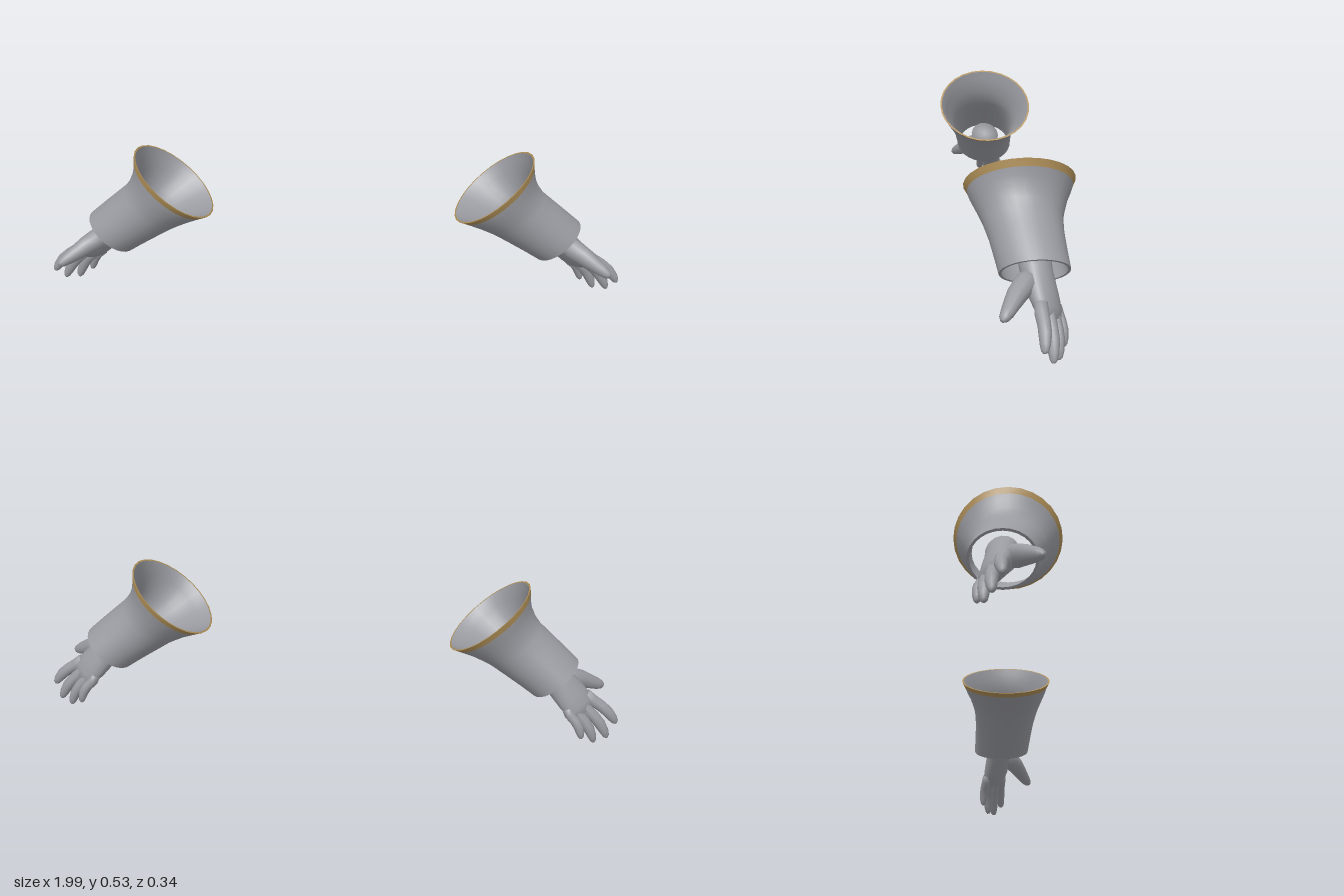
import * as THREE from 'three';

const steel = new THREE.MeshStandardMaterial({ color: 0x9a9ba1 });
steel.name = 'grey';
const gold = new THREE.MeshStandardMaterial({ color: 0xae8f58 });
gold.name = 'gold';

const vec = (a) => new THREE.Vector3(...a);

// Smooth skin over elliptical rings; each ring is { c, U, V, ru, rv }.
function loft(rings, sides) {
  const pos = [], idx = [];
  rings.forEach(({ c, U, V, ru, rv }, i) => {
    for (let j = 0; j < sides; j++) {
      const a = (j / sides) * Math.PI * 2;
      const p = c.clone().addScaledVector(U, ru * Math.cos(a)).addScaledVector(V, rv * Math.sin(a));
      pos.push(p.x, p.y, p.z);
      if (i === rings.length - 1) continue;
      const k = (j + 1) % sides, lo = i * sides, hi = lo + sides;
      idx.push(lo + j, lo + k, hi + j, lo + k, hi + k, hi + j);
    }
  });
  const g = new THREE.BufferGeometry();
  g.setAttribute('position', new THREE.Float32BufferAttribute(pos, 3));
  g.setIndex(idx);
  g.computeVertexNormals();
  return g;
}

// Cuff frame: the axis runs from the flared rim down to the wrist.
const rimCentre = vec([0.542, 0.425, 0]);
const axis = vec([0.65, -0.76, 0]).normalize();
const across = vec([0.76, 0.65, 0]).normalize();
const depth = vec([0, 0, 1]);

// Cuff profile: distance along axis, offset across, offset z, radius across, radius z
const profile = [
  [0, 0, 0, 0.168, 0.17],
  [0.02, -0.001, 0, 0.155, 0.16],
  [0.04, -0.002, 0.001, 0.142, 0.153],
  [0.067, -0.002, 0.002, 0.127, 0.141],
  [0.1, 0.001, 0.001, 0.115, 0.129],
  [0.13, 0.006, 0, 0.108, 0.12],
  [0.183, 0.018, -0.005, 0.104, 0.112],
  [0.245, 0.032, -0.011, 0.099, 0.108],
  [0.305, 0.0445, -0.017, 0.0945, 0.105],
];
const cuffRing = ([t, u, z, ru, rv], inset = 0) => ({
  c: rimCentre.clone().addScaledVector(axis, t).addScaledVector(across, u).addScaledVector(depth, z),
  U: across, V: depth, ru: ru - inset, rv: rv - inset,
});

// Tapered limb through points [x, y, z, width radius, thickness radius], closed at both ends.
const handWidth = vec([0.75, 0.32, 0.58]).normalize();
function limb(points, sides, wide = handWidth) {
  const c = points.map((p) => vec(p.slice(0, 3)));
  const rings = points.map((p, i) => {
    const T = c[Math.min(i + 1, c.length - 1)].clone().sub(c[Math.max(i - 1, 0)]).normalize();
    const U = wide.clone().addScaledVector(T, -wide.dot(T)).normalize();
    return { c: c[i], U, V: T.clone().cross(U), ru: p[3], rv: p[4] ?? p[3] };
  });
  const cap = (r) => ({ ...r, ru: 0, rv: 0 });
  return loft([cap(rings[0]), ...rings, cap(rings[rings.length - 1])], sides);
}

// Finger knuckle and tip positions
const fingers = {
  indexFinger: [[0.902, 0.145, -0.02], [0.99, 0.06, -0.017]],
  middleFinger: [[0.88, 0.125, -0.043], [0.962, 0.018, -0.046]],
  ringFinger: [[0.855, 0.112, -0.062], [0.918, 0.009, -0.068]],
  littleFinger: [[0.83, 0.112, -0.076], [0.874, 0.03, -0.088]],
};
// Fraction along the finger, radius
const fingerTaper = [[-0.25, 0.019], [0, 0.021], [0.3, 0.0195], [0.55, 0.019], [0.8, 0.0155], [0.94, 0.011], [1, 0.005]];

function finger([base, tip], scale) {
  const a = vec(base), b = vec(tip);
  const bulge = vec([0.008, 0.006, -0.004]);
  return limb(fingerTaper.map(([t, r]) => {
    const p = a.clone().lerp(b, t).addScaledVector(bulge, Math.max(0, Math.sin(t * Math.PI)));
    return [p.x, p.y, p.z, r * scale];
  }), 10);
}

function parts() {
  const last = profile[profile.length - 1];
  const list = [
    ['rimBand', loft(profile.slice(0, 2).map((p) => cuffRing(p)), 28), gold],
    ['rimEdge', loft([cuffRing(profile[0], 0.006), cuffRing(profile[0])], 28), gold],
    ['cuff', loft(profile.slice(1).map((p) => cuffRing(p)), 28), steel],
    ['cuffHem', loft([cuffRing(last), cuffRing(last, 0.008)], 28), steel],
    ['cuffLining', loft(profile.map((p, i) => cuffRing(p, i ? 0.008 : 0.006)).reverse(), 28), steel],
    // Wrist widening into the palm, then thinning at the knuckles
    ['palm', limb([
      [0.735, 0.265, -0.018, 0.055, 0.05],
      [0.775, 0.222, -0.022, 0.053, 0.046],
      [0.805, 0.192, -0.03, 0.056, 0.041],
      [0.835, 0.16, -0.038, 0.059, 0.036],
      [0.86, 0.133, -0.046, 0.057, 0.029],
      [0.878, 0.113, -0.05, 0.047, 0.018],
    ], 16), steel],
    ['thumb', limb([
      [0.795, 0.215, -0.005, 0.03],
      [0.825, 0.204, 0.018, 0.036],
      [0.858, 0.19, 0.042, 0.032],
      [0.89, 0.172, 0.062, 0.026],
      [0.918, 0.157, 0.078, 0.021],
      [0.935, 0.147, 0.09, 0.015],
      [0.943, 0.143, 0.096, 0.007],
    ], 10, vec([0.5, 0.8, -0.3])), steel],
  ];
  const scales = [1.02, 1.02, 0.98, 0.88];
  Object.entries(fingers).forEach(([name, ends], i) => list.push([name, finger(ends, scales[i]), steel]));
  return list;
}

// Mirror across x and restore outward winding.
function mirrored(geometry) {
  const g = geometry.clone().scale(-1, 1, 1);
  const ix = g.index.array;
  for (let i = 0; i < ix.length; i += 3) [ix[i + 1], ix[i + 2]] = [ix[i + 2], ix[i + 1]];
  g.computeVertexNormals();
  return g;
}

export function createModel() {
  const model = new THREE.Group();
  model.name = 'pairOfGauntlets';
  const list = parts();
  for (const side of ['left', 'right']) {
    const arm = new THREE.Group();
    arm.name = side + 'Gauntlet';
    for (const [name, geometry, material] of list) {
      const mesh = new THREE.Mesh(side === 'left' ? geometry : mirrored(geometry), material);
      mesh.name = name;
      arm.add(mesh);
    }
    model.add(arm);
  }
  return model;
}
